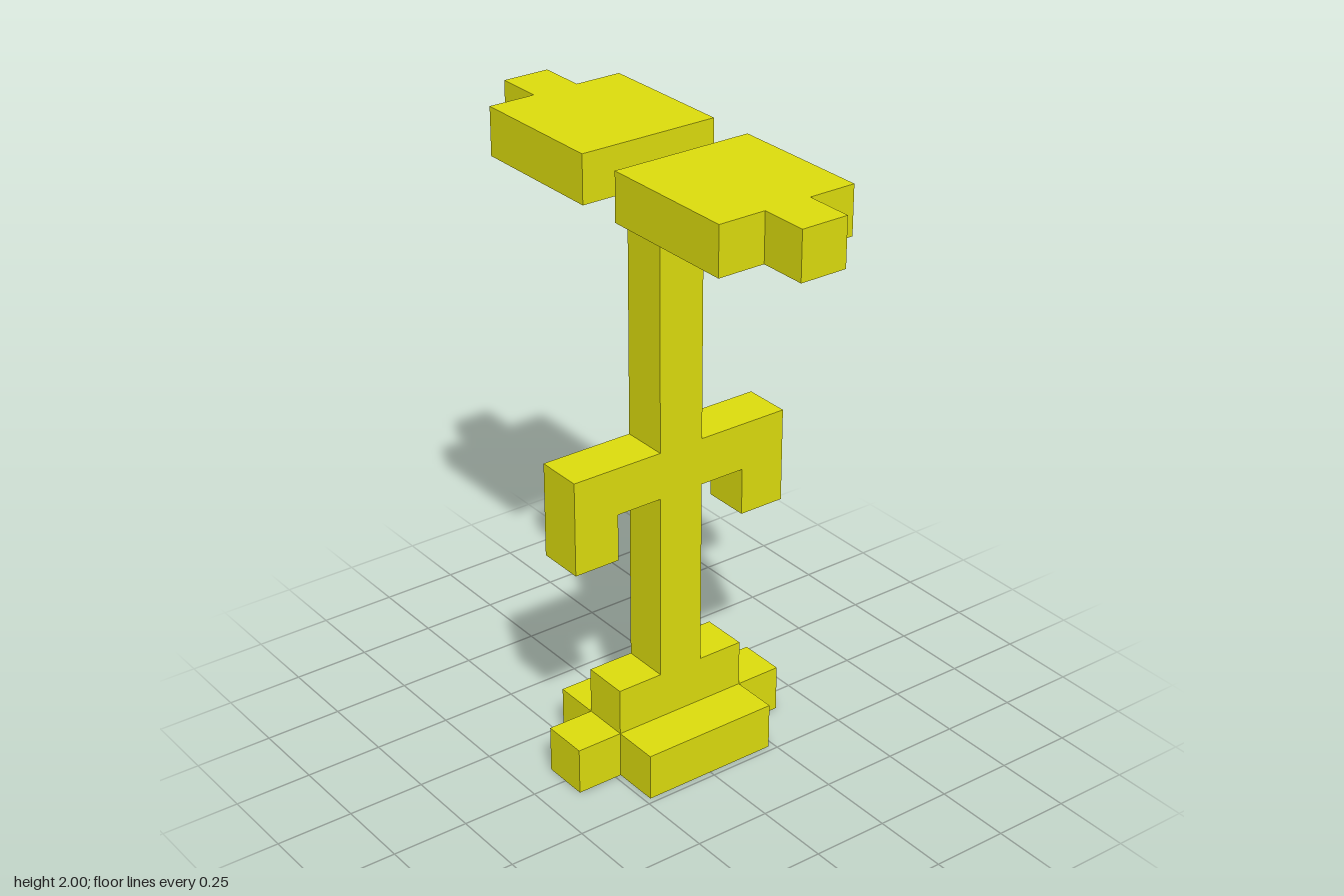
import * as THREE from 'three';

// Everything sits on a grid of 13 cubes in height
const U = 2 / 13;

// Closed outline from its right half (bottom to top), mirrored across x = 0, one cube thick
function slab(half) {
  const left = half.map(([x, y]) => [-x, y]).reverse();
  const points = [...half, ...left].map(([x, y]) => new THREE.Vector2(x * U, y * U));
  return new THREE.ExtrudeGeometry(new THREE.Shape(points), { depth: U, bevelEnabled: false });
}

// Lays a slab flat with its underside at the given level; outline y becomes z
function flatSlab(half, level) {
  return slab(half).rotateX(Math.PI / 2).translate(0, (level + 1) * U, 0);
}

export function createModel() {
  const group = new THREE.Group();
  const material = new THREE.MeshStandardMaterial({ color: 0xdddd0d, flatShading: true });
  const add = (name, geometry) => {
    const mesh = new THREE.Mesh(geometry, material);
    mesh.name = name;
    group.add(mesh);
    return mesh;
  };

  // Square foot with a stub on each side
  add('foot', flatSlab(
    [[1.5, -1.5], [1.5, -0.5], [2.5, -0.5], [2.5, 0.5], [1.5, 0.5], [1.5, 1.5]], 0));

  // Stepped mast with two drooping arms
  add('mastWithArms', slab([
    [1.5, 1], [1.5, 2], [0.5, 2], [0.5, 6], [1.5, 6], [1.5, 5],
    [2.5, 5], [2.5, 7], [0.5, 7], [0.5, 12],
  ]).translate(0, 0, -U / 2));

  // Front and back top plates, each with a narrow tip
  const plate = flatSlab([[1.5, 0.5], [1.5, 3.5], [0.5, 3.5], [0.5, 4.5]], 12);
  add('frontTopPlate', plate);
  add('backTopPlate', plate).rotation.y = Math.PI;

  return group;
}
